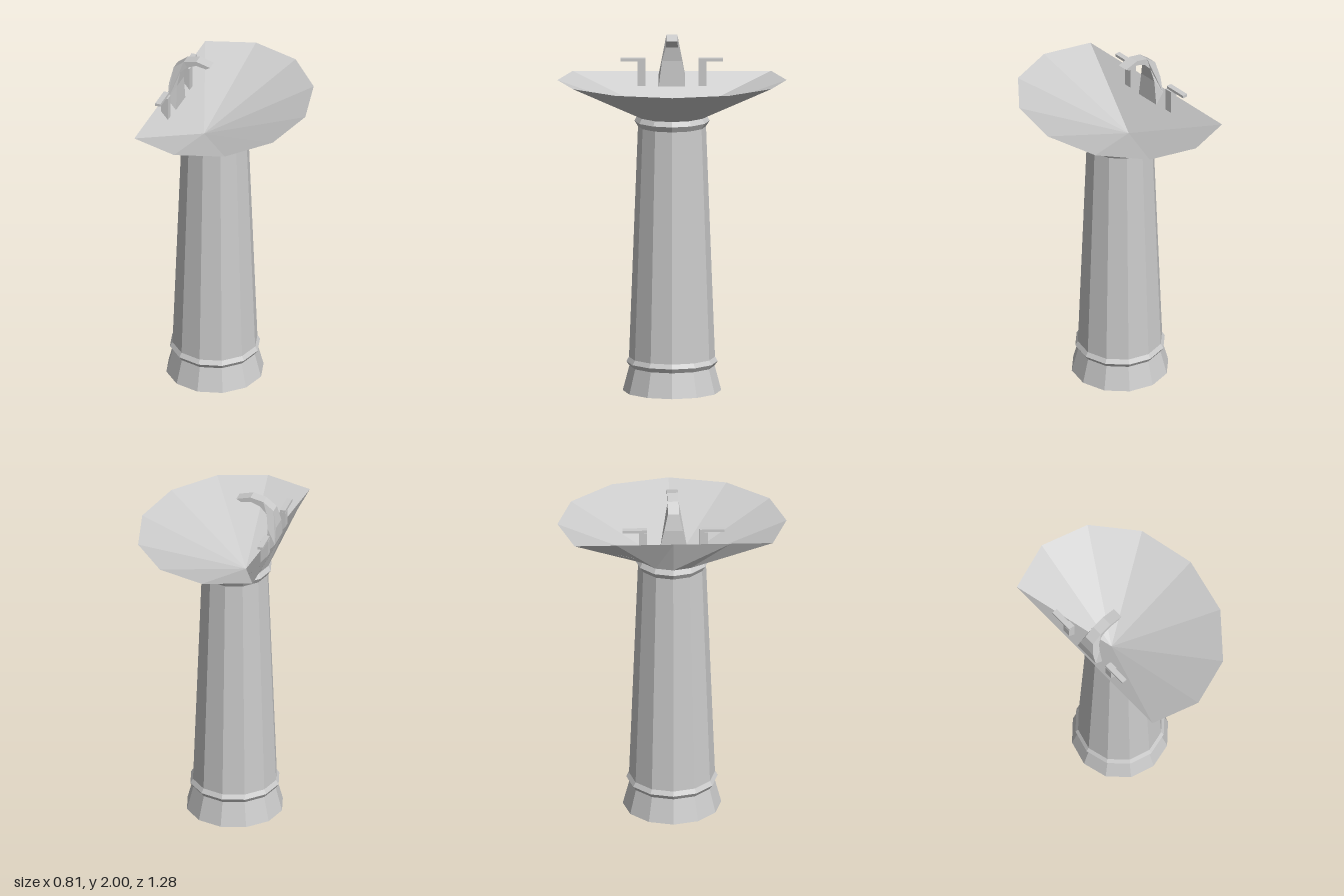
import * as THREE from 'three';

const SIDES = 12;
const AXIS_X = -0.135; // pedestal axis

const material = new THREE.MeshStandardMaterial({ color: 0xcccccc, flatShading: true });

function addMesh(parent, name, geometry) {
  const mesh = new THREE.Mesh(geometry, material);
  mesh.name = name;
  parent.add(mesh);
  return mesh;
}

// Extrudes an x-y outline by a depth centred on z = 0
function extrudeProfile(points, depth) {
  const shape = new THREE.Shape(points.map(([x, y]) => new THREE.Vector2(x, y)));
  const geometry = new THREE.ExtrudeGeometry(shape, { depth, bevelEnabled: false });
  return geometry.translate(0, 0, -depth / 2);
}

// Twelve-sided column with a flared foot and two collars
function pedestalGeometry() {
  const profile = [
    [0, 0], [0.275, 0], [0.238, 0.14], [0.255, 0.165], [0.24, 0.19],
    [0.19, 1.5], [0.21, 1.532], [0.195, 1.56],
  ].map(([r, y]) => new THREE.Vector2(r, y));
  return new THREE.LatheGeometry(profile, SIDES).translate(AXIS_X, 0, 0);
}

// Faceted funnel bowl: oval rim cut straight along the back
function basinGeometry() {
  const drain = [-0.2, 1.52, 0];
  const ring = (rx, rz, y, minX) => Array.from({ length: SIDES }, (_, i) => {
    const a = (i / SIDES) * Math.PI * 2;
    return [Math.max(minX, AXIS_X + rx * Math.cos(a)), y, rz * Math.sin(a)];
  });
  const rim = ring(0.54, 0.64, 1.762, -0.405);
  const neck = ring(0.195, 0.195, 1.56, -1);
  const positions = [];
  for (let i = 0; i < SIDES; i++) {
    const j = (i + 1) % SIDES;
    positions.push(
      ...drain, ...rim[j], ...rim[i],        // inside of the bowl
      ...neck[i], ...rim[i], ...neck[j],     // underside
      ...neck[j], ...rim[i], ...rim[j],
    );
  }
  const geometry = new THREE.BufferGeometry();
  geometry.setAttribute('position', new THREE.Float32BufferAttribute(positions, 3));
  geometry.computeVertexNormals();
  return geometry;
}

// Swan-neck spout, widening towards its foot
function spoutGeometry() {
  const geometry = extrudeProfile([
    [-0.39, 1.745], [-0.34, 1.68], [-0.342, 1.83], [-0.33, 1.91], [-0.29, 1.952],
    [-0.235, 1.973], [-0.178, 1.963], [-0.153, 1.978], [-0.235, 2.0],
    [-0.31, 1.983], [-0.37, 1.935], [-0.39, 1.84],
  ], 0.06);
  const p = geometry.attributes.position;
  for (let i = 0; i < p.count; i++) {
    const t = THREE.MathUtils.clamp((1.92 - p.getY(i)) / 0.16, 0, 1);
    p.setZ(i, Math.sign(p.getZ(i)) * (0.031 + 0.043 * t));
  }
  geometry.computeVertexNormals();
  return geometry;
}

export function createModel() {
  const model = new THREE.Group();
  model.name = 'pedestalSink';

  addMesh(model, 'pedestal', pedestalGeometry());
  addMesh(model, 'basin', basinGeometry());
  addMesh(model, 'spout', spoutGeometry());

  // Lever taps on both sides of the spout
  for (const side of [1, -1]) {
    const tap = new THREE.Group();
    tap.name = side > 0 ? 'leftTap' : 'rightTap';
    const post = extrudeProfile(
      [[-0.385, 1.735], [-0.343, 1.685], [-0.343, 1.826], [-0.385, 1.826]], 0.045);
    addMesh(tap, 'tapPost', post).position.z = side * 0.17;
    const lever = new THREE.BoxGeometry(0.031, 0.016, 0.137);
    addMesh(tap, 'tapLever', lever).position.set(-0.368, 1.834, side * 0.217);
    model.add(tap);
  }
  return model;
}
